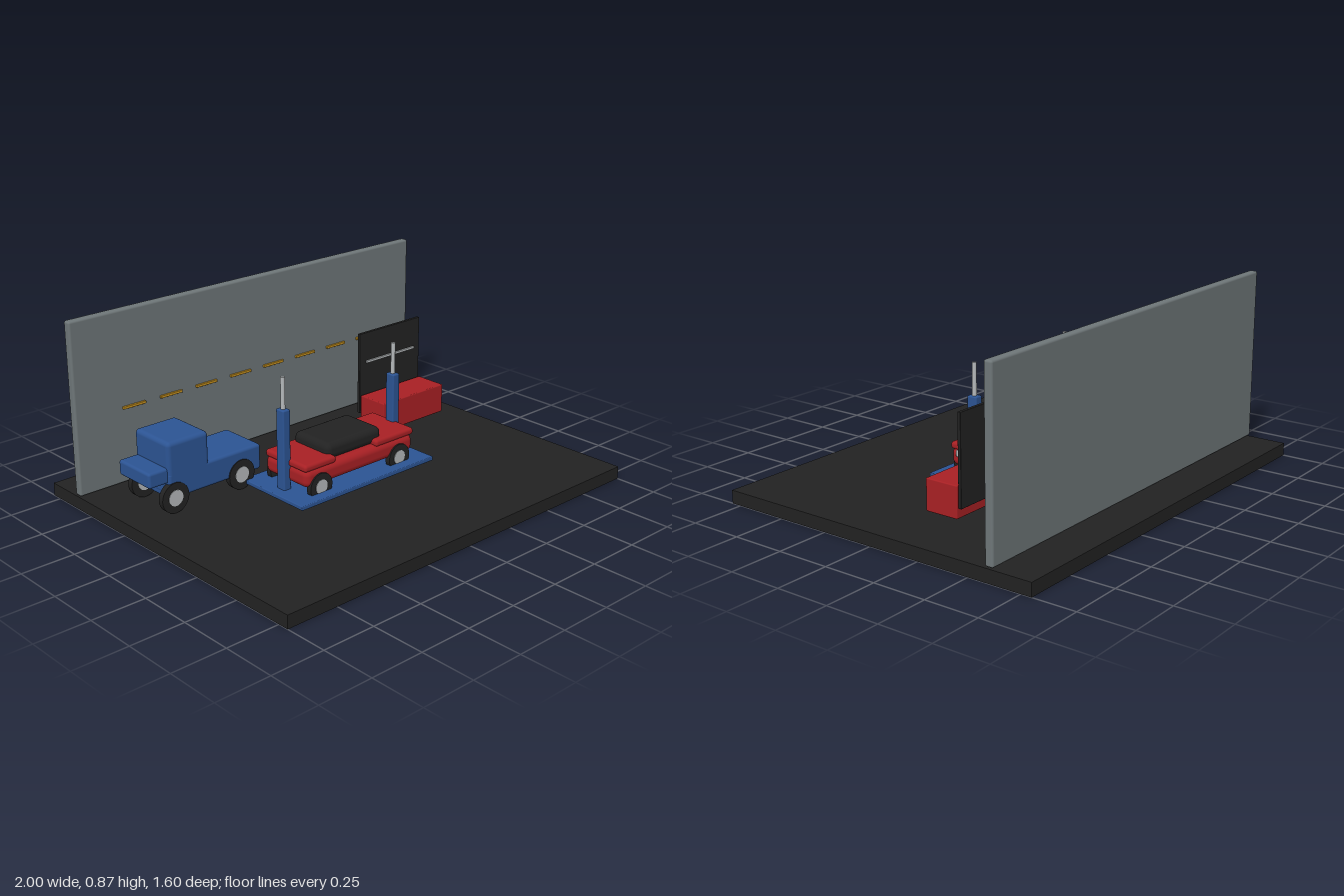
import * as THREE from 'three';
import { RoundedBoxGeometry } from 'three/addons/geometries/RoundedBoxGeometry.js';

const mat = (name, color) => {
  const m = new THREE.MeshStandardMaterial({ color });
  m.name = name;
  return m;
};

export function createModel() {
  const blue = mat('blue paint', 0x2c5493);
  const red = mat('red paint', 0xa82024);
  const black = mat('black', 0x222222);
  const grey = mat('wall grey', 0x6e7678);
  const silver = mat('silver', 0xb4b8ba);
  const yellow = mat('yellow', 0xc8921e);

  // Box given by its limits on each axis, with optional rounded edges
  function box(parent, name, material, [x0, x1], [y0, y1], [z0, z1], r = 0) {
    const size = [x1 - x0, y1 - y0, z1 - z0];
    const geo = r ? new RoundedBoxGeometry(...size, 3, r) : new THREE.BoxGeometry(...size);
    const mesh = new THREE.Mesh(geo, material);
    mesh.name = name;
    mesh.position.set((x0 + x1) / 2, (y0 + y1) / 2, (z0 + z1) / 2);
    parent.add(mesh);
    return mesh;
  }

  function rod(parent, name, material, radius, length, x, y, z) {
    const mesh = new THREE.Mesh(new THREE.CylinderGeometry(radius, radius, length, 32), material);
    mesh.name = name;
    mesh.position.set(x, y, z);
    parent.add(mesh);
    return mesh;
  }

  // Two axles, a tyre and hub on each side
  function wheels(parent, xs, y, zMid, zOff, radius, width) {
    for (const x of xs) for (const s of [-1, 1]) {
      const wheel = new THREE.Group();
      wheel.name = 'wheel';
      wheel.position.set(x, y, zMid + s * zOff);
      wheel.rotation.x = Math.PI / 2;
      rod(wheel, 'tyre', black, radius, width, 0, 0, 0);
      rod(wheel, 'hub', silver, radius * 0.53, width + 0.004, 0, 0, 0);
      parent.add(wheel);
    }
  }

  const model = new THREE.Group();
  model.name = 'workshop';
  const group = (name) => {
    const g = new THREE.Group();
    g.name = name;
    model.add(g);
    return g;
  };

  // Floor, back wall and dashed wall line
  box(model, 'floor', black, [-1, 1], [0, 0.06], [-0.8, 0.8]);
  box(model, 'backWall', grey, [-1, 1], [0.065, 0.865], [-0.62, -0.58], 0.01);
  for (let i = 0; i < 8; i++) {
    const x = -0.7 + i * 0.2;
    box(model, 'wallDash', yellow, [x - 0.06, x + 0.06], [0.414, 0.426], [-0.579, -0.567], 0.002);
  }

  // Two-post lift
  const lift = group('lift');
  box(lift, 'platform', blue, [-0.4, 0.4], [0.077, 0.097], [-0.2, 0.2], 0.004);
  for (const s of [-1, 1]) {
    const x = s * 0.33;
    box(lift, 'post', blue, [x - 0.02, x + 0.02], [0.068, 0.468], [-0.025, 0.025], 0.006);
    rod(lift, 'pistonRod', silver, 0.01, 0.3, x, 0.465, 0);
  }

  // Car
  const car = group('car');
  box(car, 'body', red, [-0.32, 0.33], [0.127, 0.212], [-0.142, 0.138], 0.03);
  box(car, 'rearDeck', red, [-0.322, -0.14], [0.204, 0.238], [-0.137, 0.133], 0.014);
  box(car, 'hood', red, [0.1, 0.337], [0.204, 0.238], [-0.137, 0.133], 0.014);
  box(car, 'cabin', black, [-0.167, 0.164], [0.205, 0.283], [-0.128, 0.103], 0.03);
  for (const z of [-0.07, 0.07])
    box(car, 'headlight', silver, [0.325, 0.339], [0.174, 0.205], [z - 0.03, z + 0.03], 0.004);
  wheels(car, [-0.24, 0.235], 0.124, -0.002, 0.134, 0.063, 0.026);

  // Truck, nose towards -x
  const truck = group('truck');
  box(truck, 'chassis', blue, [-0.81, -0.31], [0.126, 0.246], [-0.42, -0.18], 0.014);
  box(truck, 'cab', blue, [-0.812, -0.595], [0.14, 0.386], [-0.42, -0.18], 0.02);
  box(truck, 'nose', blue, [-0.905, -0.79], [0.2, 0.27], [-0.412, -0.192], 0.012);
  wheels(truck, [-0.783, -0.423], 0.132, -0.301, 0.112, 0.07, 0.028);

  // Tool chest with the board behind it
  const bench = group('toolStation');
  box(bench, 'toolChest', red, [0.4, 0.8], [0.118, 0.26], [-0.285, -0.125], 0.005);
  box(bench, 'toolBoard', black, [0.4, 0.8], [0.166, 0.566], [-0.308, -0.292], 0.003);
  box(bench, 'toolRail', silver, [0.44, 0.76], [0.414, 0.426], [-0.293, -0.284], 0.002);

  return model;
}
